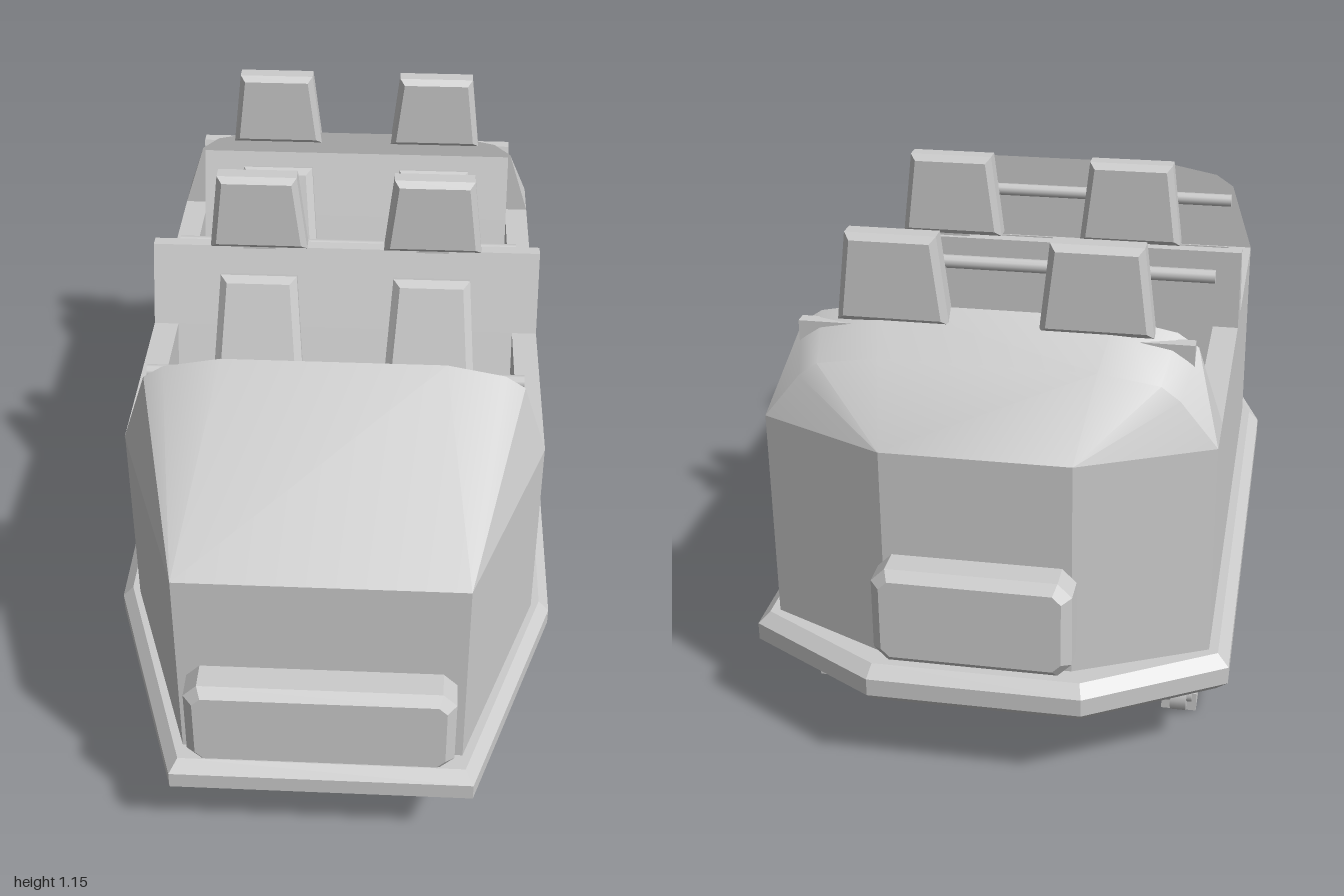
import * as THREE from 'three';
import { toCreasedNormals } from 'three/addons/utils/BufferGeometryUtils.js';
import { ConvexGeometry } from 'three/addons/geometries/ConvexGeometry.js';

const material = new THREE.MeshStandardMaterial({ color: 0xcccccc });

function add(parent, name, geometry, x = 0, y = 0, z = 0) {
  const mesh = new THREE.Mesh(geometry, material);
  mesh.name = name;
  mesh.position.set(x, y, z);
  parent.add(mesh);
  return mesh;
}

const toShape = (pts) => new THREE.Shape(pts.map(([a, b]) => new THREE.Vector2(a, b)));

// Extrusion of total length depth, with a chamfer kept inside the outline
function extrude(shape, depth, bevel = 0) {
  const g = new THREE.ExtrudeGeometry(shape, {
    depth: depth - 2 * bevel, bevelEnabled: bevel > 0, bevelSegments: 1,
    bevelSize: bevel, bevelThickness: bevel, bevelOffset: -bevel,
  });
  return g.translate(0, 0, bevel);
}

// Symmetric plan outline from [x, z] points of the left side, front to back
function plan(half) {
  const left = half.map(([x, z]) => [x, -z]);
  const right = [...left].reverse().map(([x, y]) => [-x, y]);
  return toShape([...left, ...right]);
}
const upright = (shape, depth, bevel) => extrude(shape, depth, bevel).rotateX(-Math.PI / 2);

// Side profile of [z, y] points extruded across the width
const across = (pts, width) =>
  extrude(toShape(pts), width).rotateY(-Math.PI / 2).translate(width / 2, 0, 0);

// Smoothly creased hull from mirrored points
function hull(half) {
  const pts = half.flatMap(([x, y, z]) => [new THREE.Vector3(x, y, z), new THREE.Vector3(-x, y, z)]);
  return toCreasedNormals(new ConvexGeometry(pts), 0.45);
}

// Chamfered trapezoid standing on y = 0
const pad = (bottom, top, height, depth, bevel) =>
  extrude(toShape([[-bottom, 0], [bottom, 0], [top, height], [-top, height]]), depth, bevel);

const FLOOR = 0.48, SILL = 0.76;

function addBody(root) {
  add(root, 'basePlatform', upright(plan([[0.335, 0.985], [0.525, 0.42], [0.525, -0.815], [0.23, -0.985]]), 0.09, 0.025), 0, 0.187);
  const outline = [[0.31, 0.92], [0.48, 0.43], [0.48, -0.79], [0.2, -0.92]];
  add(root, 'lowerBody', upright(plan(outline), FLOOR - 0.26), 0, 0.26);
  const walls = plan(outline);
  walls.holes.push(plan([[0.42, 0.43], [0.42, -0.67]]));
  add(root, 'cabinWalls', upright(walls, SILL - FLOOR), 0, FLOOR);

  // Front hood and rear cowl share the same arch
  const arch = [[0.48, SILL], [0.425, 0.93], [0.38, 0.96], [0.25, 0.985]];
  const archAt = (z) => arch.map(([x, y]) => [x, y, z]);
  add(root, 'frontHood', hull([...archAt(0.435), [0.31, SILL, 0.92]]));
  add(root, 'rearCowl', hull([...archAt(-0.67), [0.48, SILL, -0.79], [0.4, 0.86, -0.79],
    [0.36, 0.89, -0.79], [0.23, 0.91, -0.79], [0.2, SILL, -0.92]]));

  // Bumpers with clipped corners
  for (const [name, w, z] of [['frontBumper', 0.29, 0.9], ['rearBumper', 0.21, -1]]) {
    const c = 0.03, h = 0.11;
    const shape = toShape([[-w + c, -h], [w - c, -h], [w, -h + c], [w, h - c],
      [w - c, h], [-w + c, h], [-w, h - c], [-w, -h + c]]);
    add(root, name, extrude(shape, 0.1, 0.02), 0, 0.415, z);
  }
}

// Sloped backrest, two cushions and two headrests; z is the back of the row
function addSeatRow(root, z, upperWidth) {
  const row = new THREE.Group();
  row.name = 'seatRow';
  row.position.z = z;
  root.add(row);
  add(row, 'lowerBackrest', across([[0, FLOOR], [0.2, FLOOR], [0.1, SILL], [0, SILL]], 0.84));
  add(row, 'upperBackrest', across([[0, SILL], [0.1, SILL], [0.03, 0.95], [0, 0.95]], upperWidth));
  for (const x of [-0.215, 0.215]) {
    const cushion = add(row, 'backCushion', pad(0.125, 0.095, 0.43, 0.055, 0.018), x, 0.475, 0.185);
    cushion.rotation.x = -0.35;
    add(row, 'headrestPost', new THREE.BoxGeometry(0.08, 0.08, 0.02), x, 0.95, 0.022);
    add(row, 'headrest', pad(0.12, 0.097, 0.195, 0.065, 0.014), x, 0.957, -0.007);
  }
}

// Lap bar held by two short arms from the panel at z
function addLapBar(root, z) {
  const bar = new THREE.Group();
  bar.name = 'lapBar';
  bar.position.z = z;
  root.add(bar);
  add(bar, 'barTube', new THREE.CylinderGeometry(0.016, 0.016, 0.85, 10).rotateZ(Math.PI / 2), 0, 0.908, -0.055);
  for (const x of [-0.255, 0.255]) {
    const arm = add(bar, 'barArm', new THREE.CylinderGeometry(0.011, 0.011, 0.08, 8), x, 0.893, -0.02);
    arm.rotation.x = -1.2;
  }
}

// One half of a wheel assembly: pad, two wheels, axles and a bracket
function wheelHalf() {
  const half = new THREE.Group();
  half.name = 'wheelSet';
  add(half, 'wheelPlate', new THREE.BoxGeometry(0.08, 0.045, 0.17), 0, 0.0265, 0);
  for (const z of [-0.075, 0.075]) {
    add(half, 'wheel', new THREE.CylinderGeometry(0.042, 0.042, 0.036, 20).rotateZ(Math.PI / 2), 0, 0.047, z);
    add(half, 'axle', new THREE.CylinderGeometry(0.022, 0.022, 0.06, 12).rotateZ(Math.PI / 2), 0, 0.047, z);
  }
  add(half, 'bracket', new THREE.BoxGeometry(0.03, 0.025, 0.09), 0, 0.058, 0);
  return half;
}

function addWheels(root) {
  for (const x of [-0.408, 0.408]) {
    for (const z of [0.285, 0.005, -0.273, -0.55]) {
      const truck = new THREE.Group();
      truck.name = 'wheelTruck';
      truck.position.set(x, 0, z);
      const upper = wheelHalf();
      upper.rotation.z = Math.PI;
      upper.position.y = 0.197;
      truck.add(wheelHalf(), upper);
      add(truck, 'wheelPost', new THREE.BoxGeometry(0.022, 0.1, 0.028), 0, 0.0985, 0);
      root.add(truck);
    }
  }
}

export function createModel() {
  const root = new THREE.Group();
  root.name = 'rideCar';
  addBody(root);
  addSeatRow(root, -0.14, 0.96);
  addSeatRow(root, -0.71, 0.84);
  addLapBar(root, 0.435);
  addLapBar(root, -0.14);
  addWheels(root);
  return root;
}
